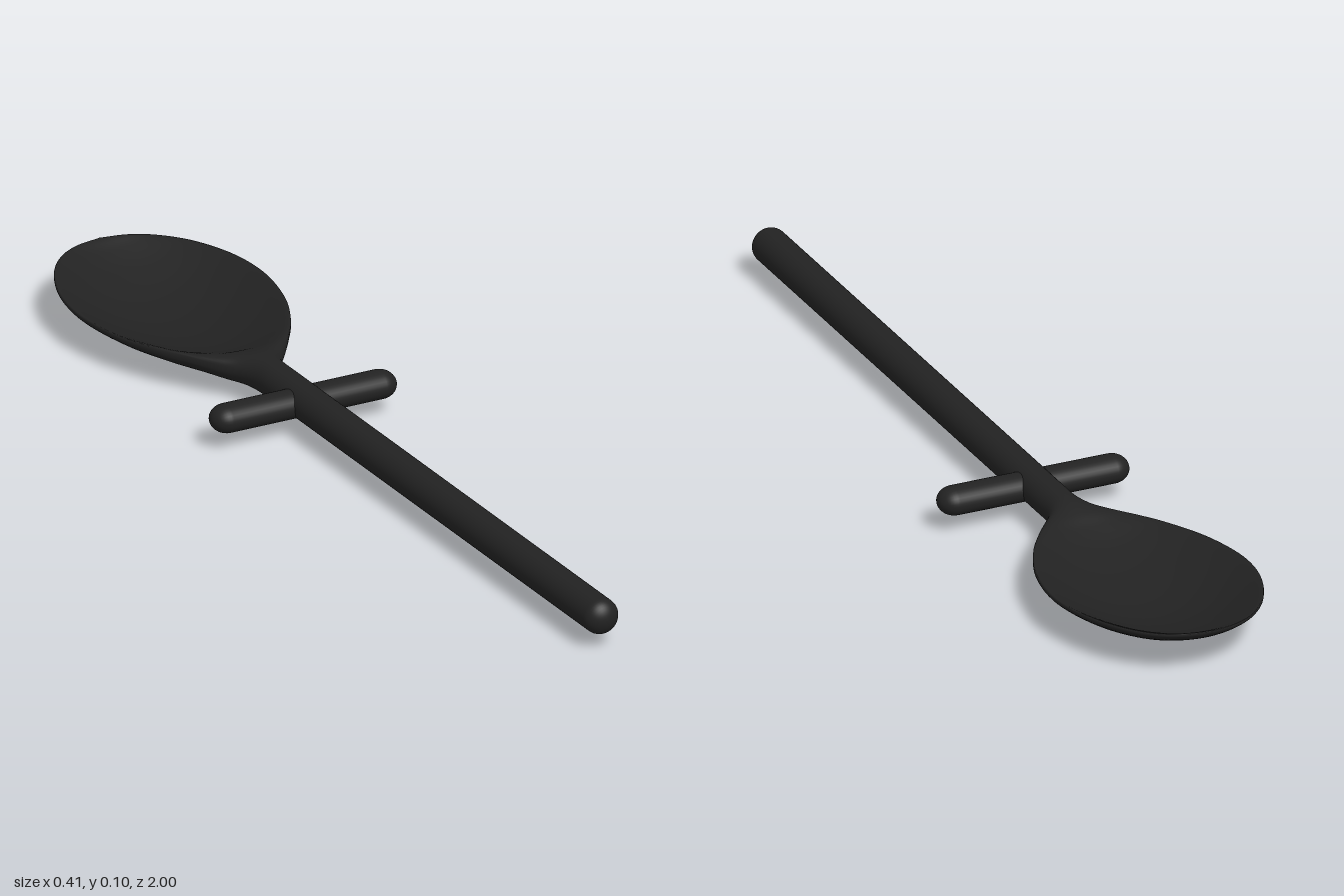
import * as THREE from 'three';

const black = new THREE.MeshStandardMaterial({ color: 0x222222 });
black.name = 'matte black';

// Bowl stations from neck to tip: z, half width, rim height, floor height, half thickness, edge roundness power
const stations = [
  [-0.28, 0.036, 0.062, 0.062, 0.036, 1],
  [-0.33, 0.037, 0.062, 0.062, 0.036, 1],
  [-0.37, 0.049, 0.064, 0.061, 0.035, 0.95],
  [-0.41, 0.079, 0.068, 0.055, 0.031, 0.8],
  [-0.45, 0.108, 0.072, 0.046, 0.024, 0.65],
  [-0.51, 0.146, 0.074, 0.034, 0.017, 0.5],
  [-0.6, 0.184, 0.077, 0.02, 0.013, 0.45],
  [-0.71, 0.203, 0.081, 0.012, 0.012, 0.45],
  [-0.81, 0.192, 0.085, 0.021, 0.011, 0.45],
  [-0.9, 0.155, 0.087, 0.045, 0.01, 0.45],
  [-0.96, 0.106, 0.088, 0.068, 0.008, 0.5],
  [-0.99, 0.054, 0.089, 0.083, 0.006, 0.6],
  [-1, 0, 0.09, 0.09, 0.002, 1],
];

// Loft dished cross-sections along the stations
function bowlGeometry(rings = 72, sides = 64) {
  const outline = new THREE.SplineCurve(stations.map(s => new THREE.Vector2(s[0], s[1])));
  const heights = new THREE.SplineCurve(stations.map(s => new THREE.Vector2(s[2], s[3])));
  const edges = new THREE.SplineCurve(stations.map(s => new THREE.Vector2(s[4], s[5])));
  const positions = [], index = [];
  for (let i = 0; i <= rings; i++) {
    const u = i / rings;
    const { x: z, y: width } = outline.getPoint(u);
    const { x: rim, y: floor } = heights.getPoint(u);
    const { x: half, y: power } = edges.getPoint(u);
    for (let j = 0; j < sides; j++) {
      const a = (j / sides) * Math.PI * 2;
      const c = Math.cos(a), s = Math.sin(a);
      const y = floor + (rim - floor) * c * c + half * Math.sign(s) * Math.abs(s) ** power;
      positions.push(Math.max(width, 0) * c, Math.max(y, 0), z);
      if (i < rings) {
        const k = (j + 1) % sides, p = i * sides, q = p + sides;
        index.push(p + j, q + j, p + k, p + k, q + j, q + k);
      }
    }
  }
  const geometry = new THREE.BufferGeometry();
  geometry.setAttribute('position', new THREE.Float32BufferAttribute(positions, 3));
  geometry.setIndex(index);
  geometry.computeVertexNormals();
  return geometry;
}

// Round rod with a softly rounded far end, lying along z
function handleGeometry() {
  const r = 0.036, round = 0.03;
  const profile = [new THREE.Vector2(r, -0.29)];
  for (let i = 0; i <= 10; i++) {
    const a = (i / 10) * Math.PI / 2;
    profile.push(new THREE.Vector2(r * Math.cos(a), 1 - round + round * Math.sin(a)));
  }
  return new THREE.LatheGeometry(profile, 40).rotateX(Math.PI / 2);
}

export function createModel() {
  const spoon = new THREE.Group();
  spoon.name = 'spoon';
  const add = (name, geometry) => {
    const mesh = new THREE.Mesh(geometry, black);
    mesh.name = name;
    spoon.add(mesh);
    return mesh;
  };

  add('bowl', bowlGeometry());
  add('handle', handleGeometry()).position.y = 0.062;

  // Slightly flattened crossbar with rounded ends
  const bar = new THREE.CapsuleGeometry(0.034, 0.332, 10, 32).rotateZ(Math.PI / 2).scale(1, 0.83, 1);
  add('crossbar', bar).position.set(0, 0.059, -0.2);

  return spoon;
}
